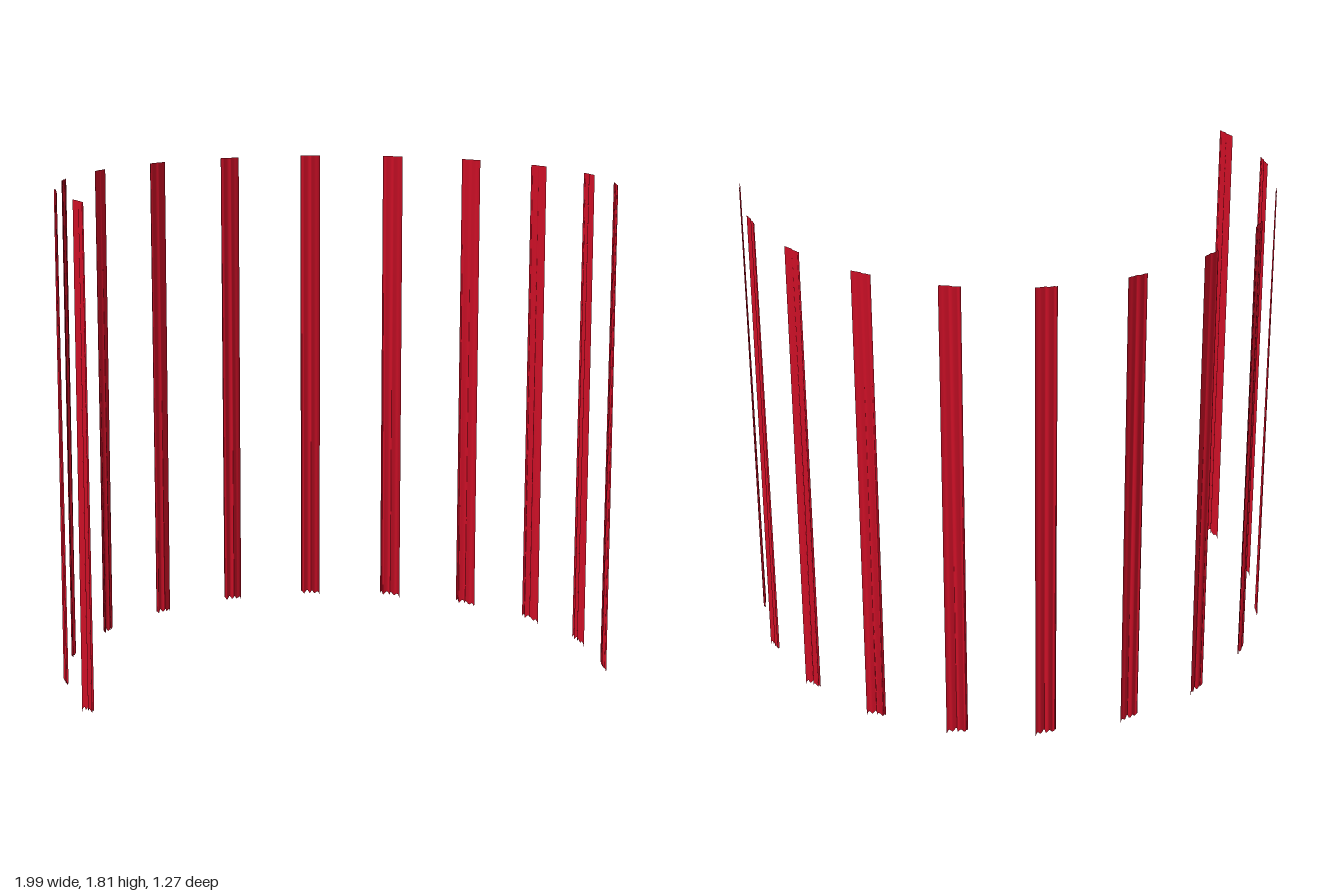
import * as THREE from 'three';

const HEIGHT = 1.813;
const RADIUS = 0.987;
const CENTRE_Z = 0.36;
const COUNT = 12;
const STEP = THREE.MathUtils.degToRad(18.9);

// Fold profile across one strip: x along the arc, y outward
const folds = new THREE.SplineCurve([
  [-0.038, 0.000], [-0.033, 0.007], [-0.026, 0.002], [-0.018, 0.006],
  [-0.008, 0.010], [-0.001, 0.006], [0.004, 0.000], [0.011, 0.003],
  [0.020, 0.007], [0.030, 0.007], [0.040, 0.012],
].map(([x, y]) => new THREE.Vector2(x, y)));

// Thin cloth strip whose folds deepen towards a ragged hem
function stripGeometry() {
  const geo = new THREE.PlaneGeometry(1, 1, 40, 12);
  const pos = geo.attributes.position;
  for (let i = 0; i < pos.count; i++) {
    const u = pos.getX(i) + 0.5;
    const v = pos.getY(i) + 0.5;
    const p = folds.getPoint(u);
    const depth = 1 - 0.6 * v;
    const hem = 0.026 + 0.006 * Math.sin(u * 22) - 0.02 * Math.pow(u, 12);
    const outward = 0.006 + (p.y - 0.006) * depth;
    pos.setXYZ(i, p.x, hem + (HEIGHT - hem) * v, -outward);
  }
  geo.computeVertexNormals();
  return geo;
}

export function createModel() {
  const model = new THREE.Group();
  model.name = 'curtainArc';
  const cloth = new THREE.MeshStandardMaterial({ color: 0xcc0f26, side: THREE.DoubleSide });
  const geo = stripGeometry();

  // Strips spaced evenly round the back of an open circle
  for (let i = 0; i < COUNT; i++) {
    const a = (i - (COUNT - 1) / 2) * STEP;
    const strip = new THREE.Mesh(geo, cloth);
    strip.name = `curtainStrip${i + 1}`;
    strip.position.set(RADIUS * Math.sin(a), 0, CENTRE_Z - RADIUS * Math.cos(a));
    strip.rotation.y = -a;
    model.add(strip);
  }
  return model;
}
